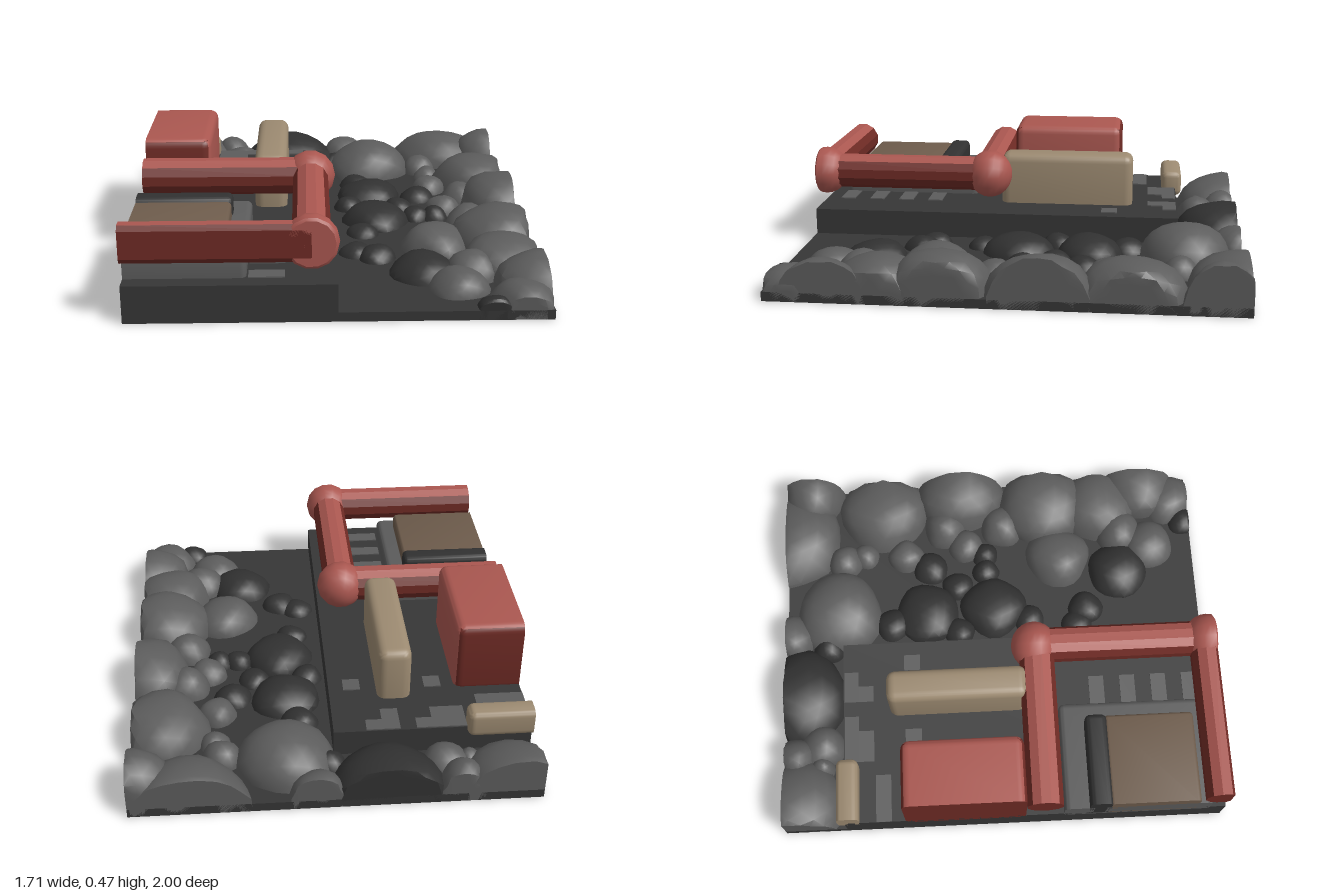
import * as THREE from 'three';
import { mergeVertices, toCreasedNormals } from 'three/addons/utils/BufferGeometryUtils.js';
import { RoundedBoxGeometry } from 'three/addons/geometries/RoundedBoxGeometry.js';

const X = 0.855, Z = 1, DECK = 0.16;

const material = (name, color) => Object.assign(new THREE.MeshStandardMaterial({ color }), { name });

// Trim a geometry to the tile by pressing vertices onto its boundary planes
function trim(geo) {
  const p = geo.attributes.position;
  for (let i = 0; i < p.count; i++) {
    p.setXYZ(i,
      THREE.MathUtils.clamp(p.getX(i), -X, X),
      Math.max(p.getY(i), 0),
      THREE.MathUtils.clamp(p.getZ(i), -Z, Z));
  }
  return geo;
}

// Split faces into group 0 (facing up) and group 1 (all others)
function splitByUp(geo) {
  const p = geo.attributes.position;
  const tri = new THREE.Triangle(), n = new THREE.Vector3();
  for (let i = 0; i < p.count; i += 3) {
    tri.setFromAttributeAndIndices(p, i, i + 1, i + 2).getNormal(n);
    geo.addGroup(i, 3, n.y > 0.7 ? 0 : 1);
  }
  return geo;
}

// Rounded block from min/max bounds
function blockGeometry(x0, x1, y0, y1, z0, z1, r) {
  const geo = new RoundedBoxGeometry(x1 - x0, y1 - y0, z1 - z0, 3, r);
  geo.translate((x0 + x1) / 2, (y0 + y1) / 2, (z0 + z1) / 2);
  return toCreasedNormals(trim(geo), 0.6);
}

// Twelve-sided pipe between two points, with a flat facet on top
function pipeGeometry(a, b, r) {
  const dir = b.clone().sub(a);
  let geo = new THREE.CylinderGeometry(r, r, dir.length(), 12).toNonIndexed();
  geo.rotateY(Math.PI / 12);
  geo.rotateX(Math.PI / 2);
  if (Math.abs(dir.x) > Math.abs(dir.z)) geo.rotateY(Math.PI / 2);
  geo.translate((a.x + b.x) / 2, (a.y + b.y) / 2, (a.z + b.z) / 2);
  geo = trim(geo);
  geo.clearGroups();
  geo.computeVertexNormals();
  return splitByUp(geo);
}

// Lumpy flattened boulder standing on the floor
function rockGeometry(x, z, r, h, seed) {
  let geo = new THREE.IcosahedronGeometry(1, 3);
  geo.deleteAttribute('uv');
  geo.deleteAttribute('normal');
  geo = mergeVertices(geo, 1e-4);
  const p = geo.attributes.position, v = new THREE.Vector3();
  for (let i = 0; i < p.count; i++) {
    v.fromBufferAttribute(p, i);
    const lump = 1 + 0.05 * Math.sin(v.x * 3 + seed * 2.1) * Math.cos(v.z * 4 + seed)
      + 0.03 * Math.sin(v.y * 5 + v.x * 4 + seed * 3.7);
    const up = Math.pow(Math.max(v.y, 0), 0.8);
    p.setXYZ(i, x + v.x * r * lump, up * h * (0.98 + (lump - 1) * 0.5), z + v.z * r * lump);
  }
  return toCreasedNormals(trim(geo), 0.6);
}

export function createModel() {
  const model = new THREE.Group();
  model.name = 'industrialGroundTile';
  const darkGrey = material('dark ground', 0x363636);
  const midGrey = material('grey stone', 0x5c5c5c);
  const darkRock = material('dark stone', 0x313131);
  const lightRed = material('light red', 0xaa5750);
  const darkRed = material('dark red', 0x6f2b25);
  const tan = material('tan', 0x9c8a71);
  const brown = material('brown', 0x6e5c4c);
  const red = [lightRed, darkRed];

  const add = (name, geo, mat, parent = model) => {
    const mesh = new THREE.Mesh(geo, mat);
    mesh.name = name;
    parent.add(mesh);
    return mesh;
  };
  const group = (name) => {
    const g = new THREE.Group();
    g.name = name;
    model.add(g);
    return g;
  };
  const box = (x0, x1, y0, y1, z0, z1) => new THREE.BoxGeometry(x1 - x0, y1 - y0, z1 - z0)
    .translate((x0 + x1) / 2, (y0 + y1) / 2, (z0 + z1) / 2);

  // Ground and raised platform
  add('floor', box(-X, X, 0, 0.04, -Z, Z), darkGrey);
  add('platform', box(-X, -0.005, 0.002, DECK, -0.72, Z), darkGrey);

  // Thin paving tiles: x0, x1, z0, z1
  const tiles = group('pavingTiles');
  const tileBounds = [
    [-0.505, -0.43, -0.435, -0.36], [-0.145, -0.07, -0.435, -0.36],
    [-0.855, -0.64, -0.575, -0.505],
    [-0.575, -0.36, -0.715, -0.65], [-0.575, -0.43, -0.65, -0.58],
    [-0.29, -0.145, -0.715, -0.65], [-0.29, -0.215, -0.65, -0.58],
  ];
  for (let i = 0; i < 4; i++) tileBounds.push([-0.36, -0.215, 0.425 + i * 0.145, 0.495 + i * 0.145]);
  for (const [x0, x1, z0, z1] of tileBounds) {
    add('pavingTile', box(x0, x1, DECK, DECK + 0.005, z0, z1), midGrey, tiles);
  }

  // Machine bed with its dark bar and brown cover
  add('machineBed', blockGeometry(-1, -0.367, 0.13, 0.25, 0.27, 0.93, 0.025), midGrey);
  add('machineBar', blockGeometry(-1, -0.443, 0.14, 0.33, 0.38, 0.478, 0.025), darkRock);
  add('machineCover', blockGeometry(-1, -0.447, 0.14, 0.315, 0.465, 0.87, 0.02), brown);

  // Red housing and tan walls
  add('redHousing', splitByUp(blockGeometry(-1, -0.56, 0.13, 0.473, -0.443, 0.098, 0.04)), red);
  add('tanWall', blockGeometry(-0.362, -0.215, 0.12, 0.402, -0.505, 0.13, 0.04), tan);
  add('tanBackWall', blockGeometry(-1, -0.575, 0.12, 0.245, -0.75, -0.65, 0.03), tan);

  // Pipe run with ball joints at both corners
  const pipes = group('pipeRun');
  const py = 0.33, px = -0.108, zBack = 0.18, zFront = 0.965;
  const at = (x, z) => new THREE.Vector3(x, py, z);
  add('backPipe', pipeGeometry(at(-X, zBack), at(px, zBack), 0.082), red, pipes);
  add('frontPipe', pipeGeometry(at(-X, zFront), at(px, zFront), 0.082), red, pipes);
  add('sidePipe', pipeGeometry(at(px, zBack), at(px, zFront), 0.08), red, pipes);
  for (const z of [zBack - 0.008, zFront]) {
    const ball = new THREE.SphereGeometry(0.111, 14, 12).rotateX(Math.PI / 2)
      .scale(1, 1, 0.95).translate(px, py, z);
    add('ballJoint', toCreasedNormals(trim(ball), 0.6), lightRed, pipes);
  }

  // Boulders: x, z, radius, height
  const lightRocks = [
    [-0.76, -0.97, 0.24, 0.2], [-0.47, -0.83, 0.11, 0.15], [-0.52, -0.95, 0.1, 0.17],
    [-0.57, -0.83, 0.06, 0.13], [0.08, -0.98, 0.12, 0.16], [0.2, -0.75, 0.21, 0.2],
    [0.47, -0.72, 0.09, 0.13], [0.6, -0.98, 0.25, 0.19], [0.83, -0.88, 0.16, 0.225],
    [0.74, -0.52, 0.22, 0.2], [0.5, -0.62, 0.07, 0.1], [0.82, -0.14, 0.22, 0.23],
    [0.63, -0.22, 0.11, 0.15], [0.53, -0.12, 0.09, 0.12], [0.45, 0.33, 0.16, 0.15],
    [0.74, 0.27, 0.22, 0.215], [0.72, 0.54, 0.2, 0.18], [0.5, 0.78, 0.13, 0.13],
    [0.57, 0.64, 0.12, 0.15], [0.75, 0.9, 0.14, 0.13], [0.83, 0.75, 0.19, 0.185],
    [0.49, -0.42, 0.09, 0.12], [0.63, 0.06, 0.11, 0.14],
  ];
  const darkRocks = [
    [-0.22, -0.94, 0.23, 0.19], [0.02, -0.8, 0.08, 0.12], [0.13, -0.49, 0.09, 0.1],
    [0.18, -0.32, 0.16, 0.13], [0.2, 0, 0.16, 0.13], [0.42, -0.3, 0.09, 0.1],
    [0.39, -0.03, 0.07, 0.1], [0.48, -0.03, 0.07, 0.1], [0.13, 0.17, 0.08, 0.09],
    [0.08, -0.17, 0.08, 0.1], [0.09, 0.4, 0.08, 0.09], [0.18, 0.45, 0.09, 0.1],
    [0.37, 0.62, 0.15, 0.13], [0.62, 0.97, 0.08, 0.09], [0.32, -0.17, 0.08, 0.09],
  ];
  const rocks = group('boulders');
  lightRocks.forEach((r, i) => add('lightBoulder', rockGeometry(...r, i + 1), midGrey, rocks));
  darkRocks.forEach((r, i) => add('darkBoulder', rockGeometry(...r, i + 40), darkRock, rocks));

  return model;
}
